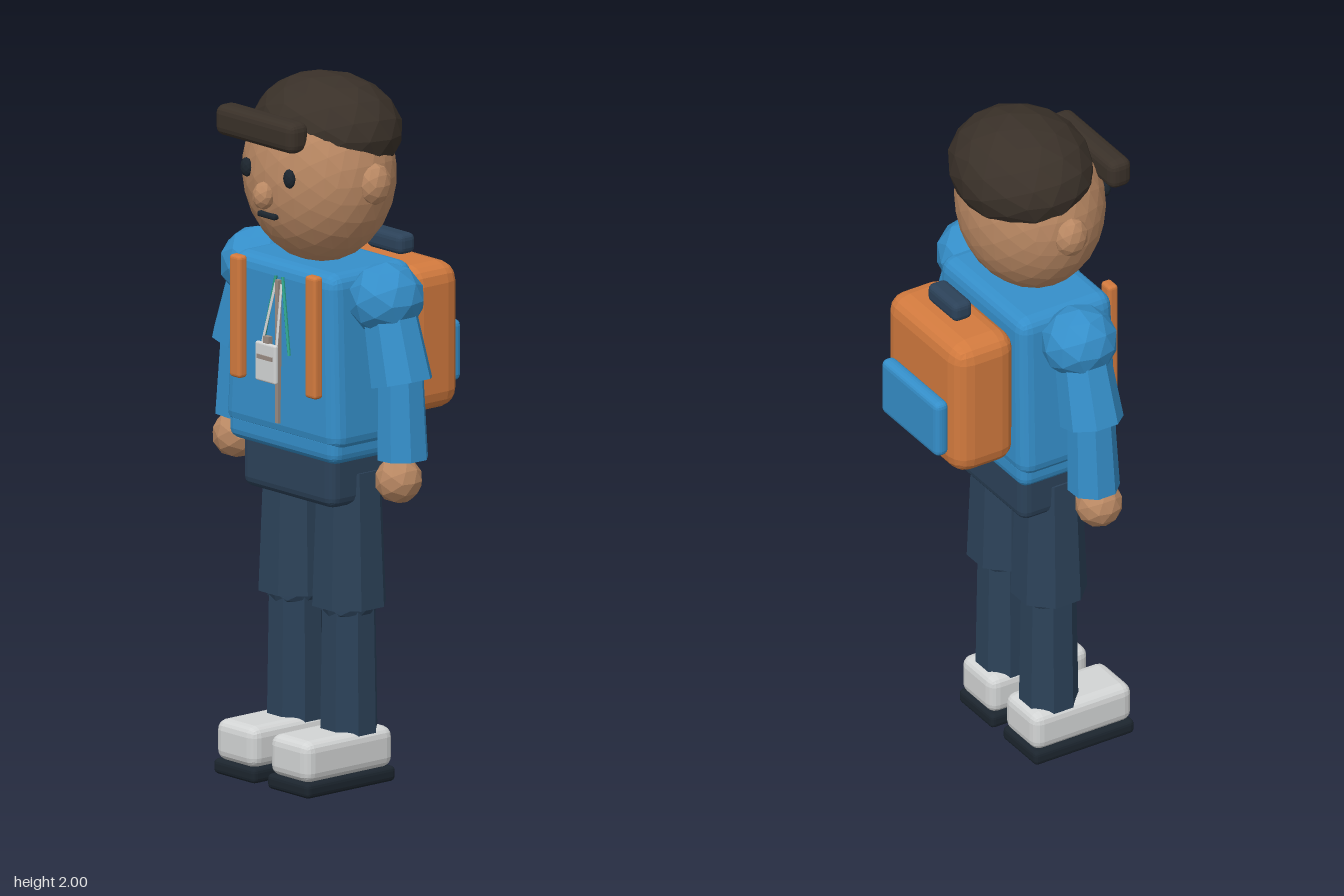
import * as THREE from 'three';
import { RoundedBoxGeometry } from 'three/addons/geometries/RoundedBoxGeometry.js';

const paint = (name, color) => {
  const m = new THREE.MeshStandardMaterial({ color });
  m.name = name;
  return m;
};

export function createModel() {
  const model = new THREE.Group();
  model.name = 'backpacker';

  const skin = paint('skin', 0xb98863);
  const hair = paint('hair', 0x3a3129);
  const blue = paint('blue cloth', 0x358fca);
  const navy = paint('navy cloth', 0x2c4259);
  const orange = paint('orange canvas', 0xd27a3e);
  const white = paint('shoe white', 0xd3d5d5);
  const dark = paint('dark rubber', 0x1c252e);
  const green = paint('lanyard green', 0x2fa58c);
  const zipGrey = paint('zip grey', 0x9a8d84);

  // Facet a geometry so every face reads flat
  const facet = (geo) => {
    const g = geo.index ? geo.toNonIndexed() : geo;
    g.computeVertexNormals();
    return g;
  };
  const add = (name, geo, mat, x, y, z, parent = model) => {
    const mesh = new THREE.Mesh(facet(geo), mat);
    mesh.name = name;
    mesh.position.set(x, y, z);
    parent.add(mesh);
    return mesh;
  };
  const ball = (rx, ry, rz, detail) => new THREE.IcosahedronGeometry(1, detail).scale(rx, ry, rz);
  const block = (w, h, d, r) => new RoundedBoxGeometry(w, h, d, 2, r);
  // Eight-sided limb running from a to b
  const limb = (name, mat, a, b, rTop, rBottom) => {
    const top = new THREE.Vector3(...a), bottom = new THREE.Vector3(...b);
    const axis = top.clone().sub(bottom);
    const geo = new THREE.CylinderGeometry(rTop, rBottom, axis.length(), 8).rotateY(Math.PI / 8);
    const mid = top.clone().add(bottom).multiplyScalar(0.5);
    const mesh = add(name, geo, mat, mid.x, mid.y, mid.z);
    mesh.quaternion.setFromUnitVectors(new THREE.Vector3(0, 1, 0), axis.normalize());
    return mesh;
  };

  // Head
  add('head', ball(0.23, 0.258, 0.203, 4), skin, 0, 1.73, 0.078);
  add('nose', ball(0.032, 0.04, 0.032, 1), skin, 0, 1.69, 0.284);
  add('mouth', block(0.074, 0.016, 0.02, 0.006), dark, 0, 1.631, 0.268);
  const cap = add('hair', ball(0.228, 0.155, 0.196, 2), hair, 0, 1.849, 0.048);
  cap.rotation.x = -0.06;
  add('fringe', block(0.33, 0.088, 0.072, 0.025), hair, -0.053, 1.866, 0.244);

  // Torso, narrowing a little to the shoulders
  const shirt = block(0.48, 0.5, 0.325, 0.04);
  const p = shirt.attributes.position;
  for (let i = 0; i < p.count; i++) {
    const t = p.getY(i) / 0.5 + 0.5;
    p.setX(i, p.getX(i) * (1 - 0.1 * t));
    p.setZ(i, p.getZ(i) * (1 - 0.06 * t));
  }
  add('shirt', shirt, blue, 0, 1.235, 0.066);
  add('shirtHem', block(0.455, 0.09, 0.315, 0.03), blue, 0, 0.99, 0.066);
  add('pelvis', block(0.385, 0.19, 0.27, 0.03), navy, 0, 0.905, 0.066);

  // Zip, lanyard and badge
  add('zip', new THREE.BoxGeometry(0.013, 0.41, 0.012), zipGrey, 0, 1.235, 0.23);
  add('badge', block(0.086, 0.112, 0.014, 0.006), white, 0, 1.21, 0.272);
  add('badgeStripe', new THREE.BoxGeometry(0.062, 0.012, 0.004), zipGrey, 0, 1.225, 0.28);
  add('badgeClip', new THREE.BoxGeometry(0.022, 0.03, 0.016), zipGrey, 0, 1.27, 0.268);

  for (const s of [1, -1]) {
    // Face details
    add('eye', ball(0.021, 0.028, 0.014, 1), dark, 0.09 * s, 1.752, 0.268);
    add('ear', ball(0.038, 0.06, 0.05, 1), skin, 0.226 * s, 1.73, 0.07);

    // Lanyard cord
    const cord = new THREE.LineCurve3(
      new THREE.Vector3(0.014 * s, 1.45, 0.226), new THREE.Vector3(0.057 * s, 1.235, 0.24));
    add('lanyard', new THREE.TubeGeometry(cord, 1, 0.005, 5), green, 0, 0, 0);
    const edge = new THREE.LineCurve3(
      new THREE.Vector3(0.012 * s, 1.43, 0.228), new THREE.Vector3(0.03 * s, 1.26, 0.262));
    add('lanyardCord', new THREE.TubeGeometry(edge, 1, 0.004, 5), white, 0, 0, 0);

    // Arm
    add('shoulder', ball(0.106, 0.104, 0.11, 1), blue, 0.27 * s, 1.411, 0.068);
    limb('upperArm', blue, [0.275 * s, 1.41, 0.068], [0.335 * s, 1.182, 0.068], 0.075, 0.09);
    limb('forearm', blue, [0.331 * s, 1.2, 0.068], [0.341 * s, 0.968, 0.07], 0.066, 0.074);
    add('hand', ball(0.067, 0.068, 0.068, 1), skin, 0.342 * s, 0.91, 0.086);

    // Leg
    limb('thigh', navy, [0.112 * s, 0.9, 0.068], [0.113 * s, 0.51, 0.068], 0.093, 0.108);
    add('knee', ball(0.083, 0.06, 0.083, 1), navy, 0.112 * s, 0.51, 0.068);
    limb('shin', navy, [0.112 * s, 0.5, 0.068], [0.112 * s, 0.13, 0.068], 0.078, 0.084);

    // Shoe
    add('shoe', block(0.167, 0.118, 0.325, 0.03), white, 0.113 * s, 0.099, 0.133);
    add('sole', block(0.175, 0.044, 0.328, 0.014), dark, 0.113 * s, 0.022, 0.133);

    // Pack strap on the chest
    add('strap', block(0.046, 0.35, 0.032, 0.01), orange, 0.159 * s, 1.308, 0.238);
  }

  // Backpack
  add('backpack', block(0.39, 0.42, 0.2, 0.055), orange, 0, 1.237, -0.182);
  add('packPocket', block(0.292, 0.175, 0.044, 0.018), blue, 0, 1.175, -0.3);
  add('packHandle', block(0.148, 0.058, 0.062, 0.018), navy, 0, 1.485, -0.185);

  return model;
}
